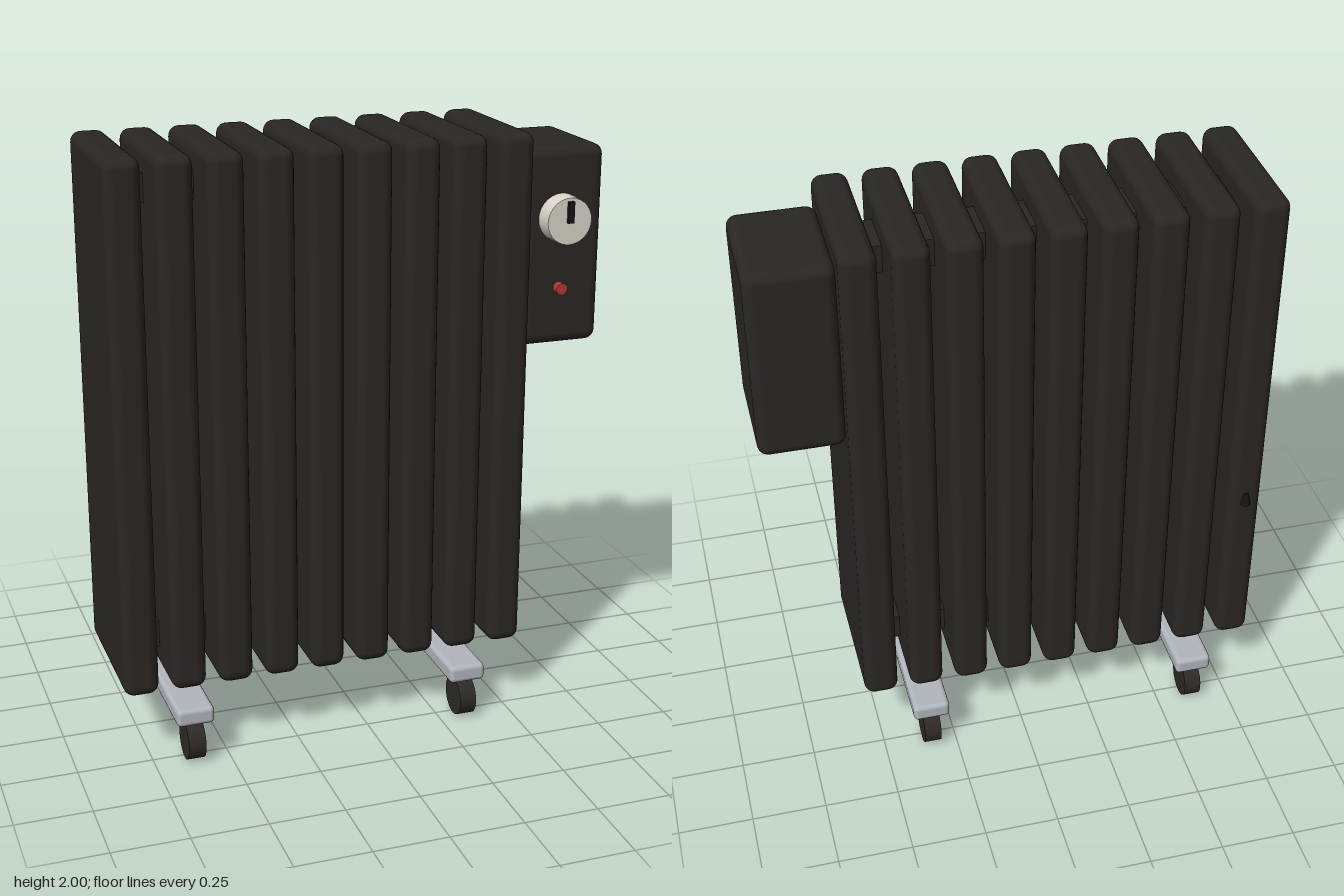
import * as THREE from 'three';
import { RoundedBoxGeometry } from 'three/addons/geometries/RoundedBoxGeometry.js';

const paint = (color) => new THREE.MeshStandardMaterial({ color });

export function createModel() {
  const model = new THREE.Group();
  const dark = paint(0x2a2624), rubber = paint(0x2e2a27), black = paint(0x161413);
  const silver = paint(0xb2b6bd), cream = paint(0xd8d4c8), red = paint(0xb03a36);

  const add = (name, geometry, material, x, y, z) => {
    const mesh = new THREE.Mesh(geometry, material);
    mesh.name = name;
    mesh.position.set(x, y, z);
    model.add(mesh);
    return mesh;
  };

  // Row of nine rounded fins
  const firstX = -0.776, step = 0.159, count = 9;
  const finGeo = new RoundedBoxGeometry(0.116, 1.76, 0.53, 3, 0.035);
  for (let i = 0; i < count; i++) add('fin', finGeo, dark, firstX + i * step, 1.12, 0);

  // Upper and lower connecting bars through the fins
  const span = step * (count - 1);
  const barGeo = new THREE.BoxGeometry(span, 0.092, 0.16);
  for (const y of [0.37, 1.87]) add('connectingBar', barGeo, dark, firstX + span / 2, y, 0);

  // Control housing on the end fin
  add('controlBox', new RoundedBoxGeometry(0.28, 0.66, 0.395, 3, 0.035), dark, 0.69, 1.606, 0);

  // Thermostat knob, pointer and indicator lamp
  const knob = new THREE.CylinderGeometry(0.077, 0.08, 0.07, 28).rotateX(Math.PI / 2);
  add('thermostatKnob', knob, cream, 0.68, 1.705, 0.228);
  add('knobPointer', new THREE.BoxGeometry(0.02, 0.07, 0.02), black, 0.68, 1.736, 0.266);
  const lamp = new THREE.CylinderGeometry(0.02, 0.02, 0.04, 16).rotateX(Math.PI / 2);
  add('indicatorLamp', lamp, red, 0.68, 1.47, 0.206);

  // Small cord outlet on the back of the far fin
  add('cordOutlet', new THREE.CylinderGeometry(0.008, 0.018, 0.045, 12), black, firstX, 0.862, -0.265);

  // Two cross feet, each with a pair of wheels
  const footGeo = new RoundedBoxGeometry(0.126, 0.06, 0.65, 2, 0.016);
  const wheelGeo = new THREE.CylinderGeometry(0.067, 0.067, 0.058, 20).rotateZ(Math.PI / 2);
  for (const i of [1, 7]) {
    const x = firstX + i * step;
    add('foot', footGeo, silver, x, 0.17, 0);
    for (const side of [-1, 1]) add('wheel', wheelGeo, rubber, x, 0.067, side * 0.267);
  }
  return model;
}
